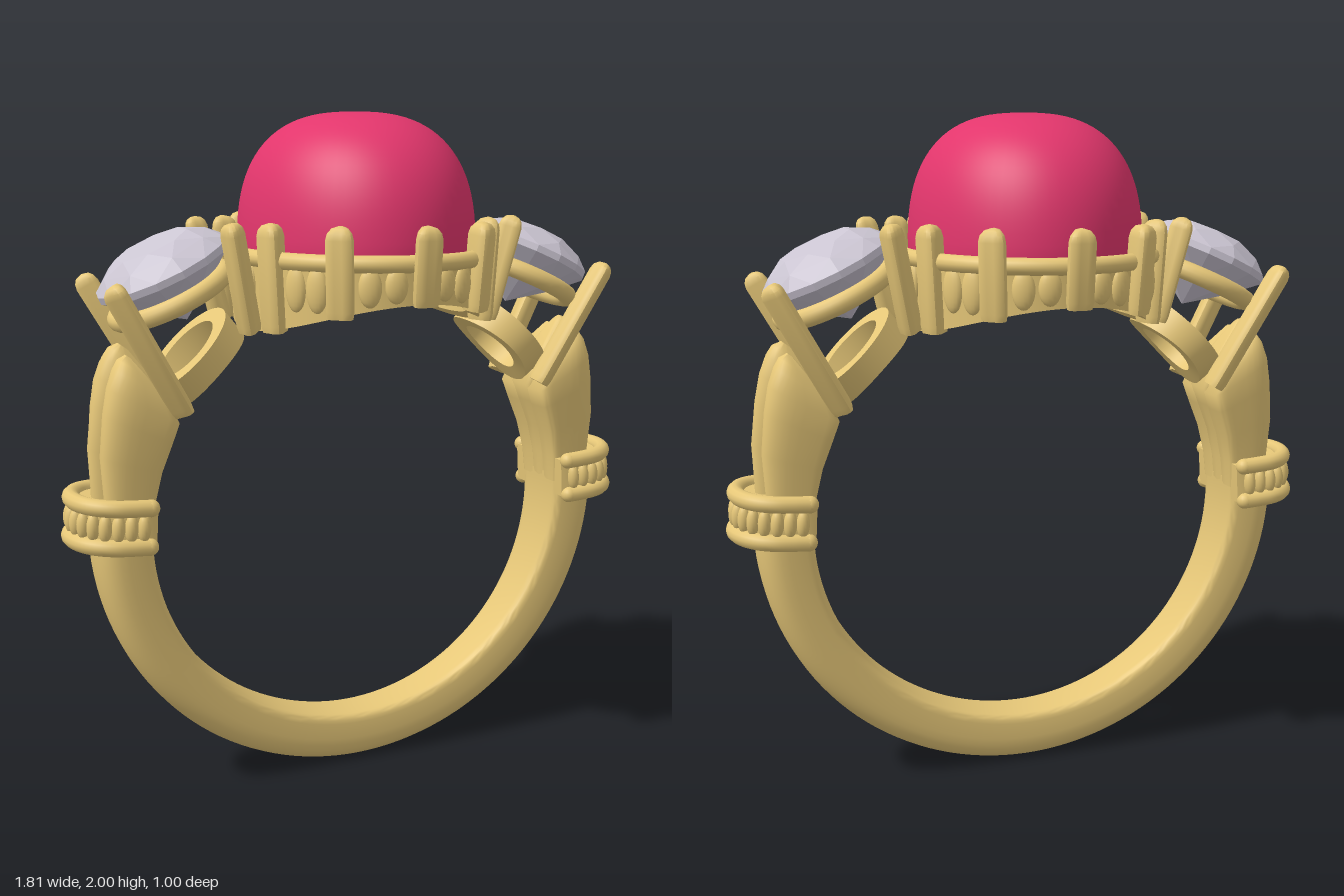
import * as THREE from 'three';
import { toCreasedNormals } from 'three/addons/utils/BufferGeometryUtils.js';
import { ConvexGeometry } from 'three/addons/geometries/ConvexGeometry.js';

const V = (x, y, z) => new THREE.Vector3(x, y, z);
const gold = new THREE.MeshStandardMaterial({ color: 0xe6c778 });
const red = new THREE.MeshStandardMaterial({ color: 0xe2366c });
const clear = new THREE.MeshStandardMaterial({ color: 0xcbc5d2 });
const TAU = Math.PI * 2, CY = 0.82, BORE = 0.665;
const rad = THREE.MathUtils.degToRad;
const boreY = x => CY + Math.sqrt(BORE * BORE - x * x);

function add(parent, name, geometry, material = gold) {
  const mesh = new THREE.Mesh(geometry, material);
  mesh.name = name;
  parent.add(mesh);
  return mesh;
}

// Skin closed cross-sections; either join the last to the first or cap both ends
function loft(sections, loop = false, crease = 0.7) {
  const rings = sections.slice();
  const n = rings[0].length;
  if (loop) rings.push(rings[0]);
  else {
    const cap = r => {
      const c = r.reduce((s, p) => s.add(p), V(0, 0, 0)).divideScalar(n);
      return r.map(() => c);
    };
    rings.unshift(cap(rings[0]));
    rings.push(cap(rings[rings.length - 1]));
  }
  const tris = [];
  let volume = 0;
  const tri = (a, b, c) => {
    if (V(0, 0, 0).crossVectors(b.clone().sub(a), c.clone().sub(a)).length() < 1e-10) return;
    volume += a.dot(V(0, 0, 0).crossVectors(b, c));
    tris.push([a, b, c]);
  };
  for (let i = 0; i < rings.length - 1; i++) for (let j = 0; j < n; j++) {
    const k = (j + 1) % n;
    tri(rings[i][j], rings[i][k], rings[i + 1][k]);
    tri(rings[i][j], rings[i + 1][k], rings[i + 1][j]);
  }
  const points = tris.flatMap(t => (volume < 0 ? [t[0], t[2], t[1]] : t));
  return toCreasedNormals(new THREE.BufferGeometry().setFromPoints(points), crease);
}

const power = (v, e) => Math.sign(v) * Math.abs(v) ** e;

// Section across the band at an angle, between two radii, offset sideways
function bandSection(deg, r0, r1, w, z0 = 0, inner = 0.3) {
  const a = rad(deg), out = [];
  for (let i = 0; i < 28; i++) {
    const t = i / 28 * TAU, s = Math.sin(t);
    const r = (r0 + r1) / 2 + (r1 - r0) / 2 * power(s, s > 0 ? 0.85 : inner);
    out.push(V(r * Math.cos(a), CY + r * Math.sin(a), z0 + w * power(Math.cos(t), s > 0 ? 0.8 : inner)));
  }
  return out;
}

// Claw with a wedge section pointing inward and a rounded tip
function prong(a, b, outward, size) {
  const dir = b.clone().sub(a).normalize();
  const out = outward.clone().addScaledVector(dir, -outward.dot(dir)).normalize();
  const side = V(0, 0, 0).crossVectors(dir, out);
  const length = a.distanceTo(b);
  const steps = [[0, 0.9], [0.02, 1], [length - size, 1], [length - size * 0.5, 0.88], [length - size * 0.15, 0.6], [length, 0.15]];
  return loft(steps.map(([h, s]) => {
    const ring = [];
    for (let i = 0; i < 18; i++) {
      const t = i / 18 * TAU, r = size * s * (1 - 0.18 * Math.cos(3 * t));
      ring.push(a.clone().addScaledVector(dir, h).addScaledVector(out, r * Math.cos(t)).addScaledVector(side, r * Math.sin(t)));
    }
    return ring;
  }));
}

function bead(parent, name, pos, sx, sy, sz, turn) {
  const m = add(parent, name, new THREE.SphereGeometry(1, 16, 12));
  m.scale.set(sx, sy, sz);
  m.position.copy(pos);
  m.rotation.y = turn;
}

function centreSetting() {
  const g = new THREE.Group();
  g.name = 'centreSetting';
  // Domed oval stone
  const profile = [new THREE.Vector2(0, 1.55), new THREE.Vector2(0.325, 1.55)];
  for (let i = 0; i <= 24; i++) {
    const t = i / 24 * Math.PI / 2, e = 2 / 2.6;
    profile.push(new THREE.Vector2(0.335 * Math.max(0, Math.cos(t)) ** e * (i < 24 ? 1 : 0), 1.6 + 0.4 * Math.sin(t) ** e));
  }
  const dome = new THREE.LatheGeometry(profile, 64);
  dome.scale(1, 1, 0.425 / 0.335);
  add(g, 'ovalStone', toCreasedNormals(dome, 0.8), red);

  // Oval wall whose lower edge follows the finger hole, with a round rim
  const wall = [], rim = [];
  for (let i = 0; i < 72; i++) {
    const a = i / 72 * TAU, c = Math.cos(a), s = Math.sin(a);
    const at = (d, y) => V((0.36 + d) * c, y ?? boreY((0.36 + d) * c), (0.45 + d) * s);
    wall.push([at(-0.01), at(0, 1.6), at(-0.035, 1.6), at(-0.05)]);
    const ring = [];
    for (let j = 0; j < 12; j++) ring.push(at(0.026 * Math.cos(j / 12 * TAU), 1.598 + 0.024 * Math.sin(j / 12 * TAU)));
    rim.push(ring);
  }
  add(g, 'settingWall', loft(wall, true));
  add(g, 'settingRim', loft(rim, true, 1.2));

  // Ten claws with two oval beads in every gap
  const angles = [25, 55, 90, 125, 155, 205, 235, 270, 305, 335];
  angles.forEach((deg, i) => {
    const c = Math.cos(rad(deg)), s = Math.sin(rad(deg));
    const foot = V(0.36 * c, boreY(0.36 * c), 0.455 * s), tip = V(0.378 * c, 1.7, 0.475 * s);
    add(g, 'centreProng', prong(foot, tip, V(c / 0.36, 0, s / 0.45), 0.036));
    const next = angles[(i + 1) % 10] + (i === 9 ? 360 : 0);
    for (const f of [0.34, 0.66]) {
      const a = rad(deg + (next - deg) * f), x = 0.357 * Math.cos(a), z = 0.447 * Math.sin(a);
      const low = Math.max(boreY(x) + 0.01, 1.46);
      bead(g, 'wallBead', V(x, (low + 1.59) / 2, z), 0.032, (1.59 - low) / 2, 0.018, Math.atan2(x / 0.36, z / 0.45));
    }
  });
  return g;
}

// Faceted round stone
function roundStone() {
  const pts = [V(0, -0.165, 0)];
  const ring = (n, r, y, shift) => {
    for (let i = 0; i < n; i++) {
      const a = (i + shift) / n * TAU;
      pts.push(V(r * Math.cos(a), y, r * Math.sin(a)));
    }
  };
  ring(16, 0.2, 0.008, 0);
  ring(16, 0.2, -0.012, 0);
  ring(8, 0.162, 0.045, 0);
  ring(8, 0.11, 0.072, 0.5);
  ring(8, 0.115, -0.085, 0.5);
  return new ConvexGeometry(pts);
}

// Side stone, its basket, the fluted shoulder and the beaded collar
function ringSide() {
  const g = new THREE.Group();
  const tilt = rad(-25);
  const stone = add(g, 'sideStone', roundStone(), clear);
  stone.position.set(0.592, 1.572, 0);
  stone.rotation.z = tilt;
  const seat = new THREE.TorusGeometry(0.165, 0.028, 12, 48);
  seat.rotateX(Math.PI / 2);
  const seatMesh = add(g, 'stoneSeat', seat);
  seatMesh.position.set(0.57, 1.495, 0);
  seatMesh.rotation.z = tilt;

  // Basket base, curved to the finger hole
  const b = rad(44.5), base = [];
  for (let i = 0; i < 48; i++) {
    const t = i / 48 * TAU;
    const at = (R, h) => {
      const u = R * Math.cos(t), k = h ?? Math.sqrt(BORE * BORE - u * u);
      return V(k * Math.cos(b) - u * Math.sin(b), CY + k * Math.sin(b) + u * Math.cos(b), R * Math.sin(t));
    };
    base.push([at(0.145), at(0.155, 0.74), at(0.105, 0.74), at(0.095)]);
  }
  add(g, 'basketBase', loft(base, true));
  for (const s of [-1, 1]) {
    add(g, 'sideProng', prong(V(0.575, 1.18, 0.13 * s), V(0.78, 1.545, 0.17 * s), V(0.5, 0, s * 0.5), 0.032));
    add(g, 'sideProng', prong(V(0.38, 1.395, 0.13 * s), V(0.445, 1.7, 0.17 * s), V(-0.5, 0, s * 0.5), 0.032));
  }

  // Three petals: angle, inner radius, outer radius, half width
  const petal = [[2, 0.665, 0.82, 0.036], [9, 0.665, 0.83, 0.04], [17, 0.665, 0.862, 0.048], [25, 0.665, 0.893, 0.056],
    [30, 0.672, 0.915, 0.06], [33.5, 0.73, 0.925, 0.055], [35.5, 0.8, 0.925, 0.042], [37, 0.875, 0.91, 0.015]];
  add(g, 'middlePetal', loft(petal.map(([a, r0, r1, w]) => bandSection(a, r0, r1, w)), false, 0.9));
  for (const s of [-1, 1]) {
    add(g, 'sidePetal', loft(petal.map(([a, r0, r1, w]) =>
      bandSection(a * 0.97, r0, r1 - 0.022, w * 1.05, s * (0.045 + w * 0.45))), false, 0.9));
  }

  // Collar: two round rims and a row of beads around a U-shaped core
  const collar = new THREE.Group();
  collar.name = 'collar';
  collar.position.y = CY;
  collar.rotation.z = rad(3.6);
  const path = [V(0.69, 0, -0.14)];
  for (let i = 0; i <= 12; i++) {
    const t = (i / 12 - 0.5) * Math.PI;
    path.push(V(0.74 + 0.14 * Math.max(0, Math.cos(t)) ** 0.85, 0, 0.14 * Math.sin(t)));
  }
  path.push(V(0.69, 0, 0.14));
  const curve = new THREE.CatmullRomCurve3(path);
  const ends = [V(0.668, 0, -0.135), ...path, V(0.668, 0, 0.135)];
  add(collar, 'collarCore', loft([-0.06, 0.06].map(y => ends.map(p => V(p.x, y, p.z)))));
  for (const y of [-0.056, 0.056]) {
    add(collar, 'collarRim', new THREE.TubeGeometry(curve, 48, 0.025, 12)).position.y = y;
    for (const z of [-0.14, 0.14]) bead(collar, 'rimEnd', V(0.69, y, z), 0.025, 0.025, 0.025, 0);
  }
  for (let i = 0; i < 15; i++) {
    const p = curve.getPointAt((i + 0.5) / 15), t = curve.getTangentAt((i + 0.5) / 15);
    bead(collar, 'collarBead', p, 0.02, 0.042, 0.019, Math.atan2(t.x, t.z));
  }
  g.add(collar);
  return g;
}

export function createModel() {
  const model = new THREE.Group();
  model.name = 'ring';
  // Lower band, slimmest at the bottom
  const band = [];
  for (let i = 0; i <= 72; i++) {
    const deg = 4 - i / 72 * 188, low = Math.max(0, -Math.sin(rad(deg)));
    band.push(bandSection(deg, BORE, 0.828 - 0.008 * low, 0.106 - 0.032 * low));
  }
  add(model, 'band', loft(band, false, 0.9));
  model.add(centreSetting());
  for (const [name, turn] of [['leftSide', 0], ['rightSide', Math.PI]]) {
    const side = ringSide();
    side.name = name;
    side.rotation.y = turn;
    model.add(side);
  }
  return model;
}
